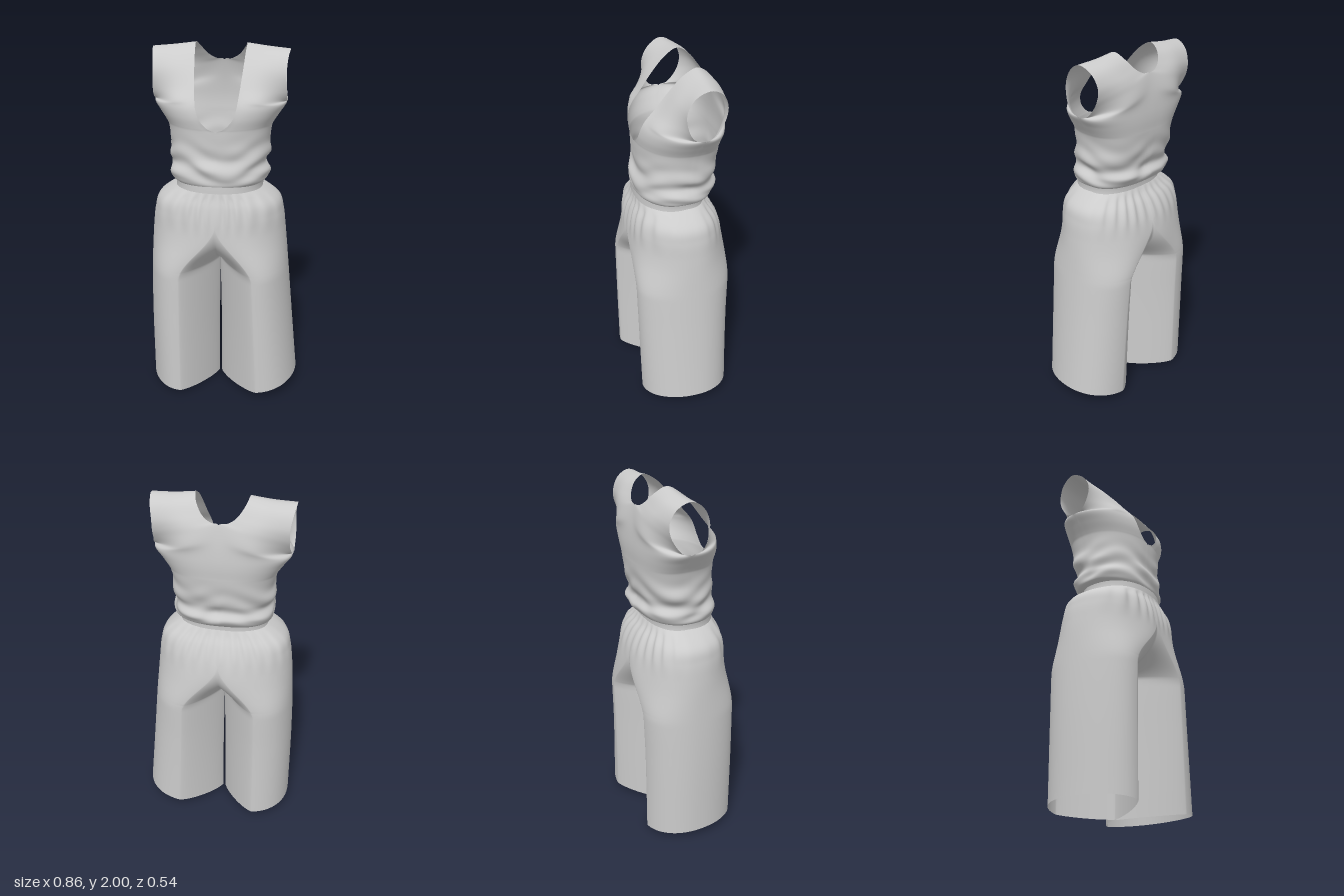
import * as THREE from 'three';
import { mergeGeometries, mergeVertices } from 'three/addons/utils/BufferGeometryUtils.js';

const MID = -0.03; // x of the garment's centre seam
const { smoothstep } = THREE.MathUtils;
const material = new THREE.MeshStandardMaterial({ color: 0xcccccc, side: THREE.DoubleSide });
const V = (x, y, z) => new THREE.Vector3(x, y, z);

// Smooth lookup in rows of [y, value, value, ...], sorted by y
function profile(rows) {
  const size = rows[0].length - 1;
  const spline = new THREE.CubicInterpolant(rows.map(r => r[0]), rows.flatMap(r => r.slice(1)), size, new Array(size));
  return y => [...spline.evaluate(y)];
}

// Oval section: t = 0 is the front, PI/2 the outer side, PI the back.
// p < 1 squares the oval, p = 1 is an ellipse, p = 2 a diamond.
function oval(t, cx, a, zf, zb, zc, p) {
  const power = v => Math.sign(v) * Math.abs(v) ** p;
  const c = power(Math.cos(t));
  return [cx + a * power(Math.sin(t)), zc + c * (c > 0 ? zf - zc : zc - zb)];
}

// Grid surface from f(u, v) -> Vector3
function grid(f, nu, nv, flip) {
  const pos = [], index = [];
  for (let j = 0; j <= nv; j++)
    for (let i = 0; i <= nu; i++) pos.push(...f(i / nu, j / nv).toArray());
  for (let j = 0; j < nv; j++)
    for (let i = 0; i < nu; i++) {
      const a = j * (nu + 1) + i, b = a + 1, c = a + nu + 1, d = c + 1;
      index.push(...(flip ? [a, c, b, b, c, d] : [a, b, c, b, d, c]));
    }
  const g = new THREE.BufferGeometry();
  g.setAttribute('position', new THREE.Float32BufferAttribute(pos, 3));
  g.setIndex(index);
  return g;
}

// Both halves of a part, welded along the seams; half(side) returns f(u, v)
function mirrored(name, half, nu, nv) {
  const g = mergeVertices(mergeGeometries([1, -1].map(s => grid(half(s), nu, nv, s < 0))), 1e-4);
  g.computeVertexNormals();
  const mesh = new THREE.Mesh(g, material);
  mesh.name = name;
  return mesh;
}

// Bodice: one strip per side, up the front, over the shoulder and down the back
const FRONT = 0.92, BACK = 0.78; // roundness of the chest and of the back
function bodice() {
  const rings = [ // y, half width, front z, back z, side z, neck opening
    [1.275, 0.242, 0.207, -0.157, 0.01, 0],
    [1.295, 0.268, 0.215, -0.195, 0.0, 0],
    [1.34, 0.272, 0.217, -0.22, 0, 0],
    [1.38, 0.258, 0.218, -0.2, -0.01, 0],
    [1.43, 0.278, 0.2, -0.212, -0.02, 0],
    [1.50, 0.272, 0.205, -0.224, -0.03, 0],
    [1.58, 0.285, 0.207, -0.232, -0.04, 0],
    [1.60, 0.295, 0.209, -0.233, -0.045, 0.042],
    [1.65, 0.328, 0.212, -0.236, -0.05, 0.088],
    [1.70, 0.36, 0.203, -0.235, -0.06, 0.106],
  ];
  const ringRow = ([y, w, zf, zb, zc, neck], back) => {
    const p = back ? BACK : FRONT;
    const t0 = back ? Math.PI : Math.asin((neck / w) ** (1 / p));
    return Array.from({ length: 10 }, (_, i) => {
      const [x, z] = oval(t0 + (Math.PI / 2 - t0) * i / 9, 0, w, zf, zb, zc, p);
      return V(x, y, z);
    });
  };
  // neck edge, middle, armhole edge
  const shoulder = [
    [V(0.112, 1.735, 0.178), V(0.235, 1.73, 0.142), V(0.36, 1.713, -0.01)],
    [V(0.12, 1.80, 0.125), V(0.235, 1.785, 0.105), V(0.36, 1.76, 0.025)],
    [V(0.13, 1.90, 0.045), V(0.235, 1.89, 0.048), V(0.355, 1.86, 0.04)],
    [V(0.135, 1.965, -0.02), V(0.24, 1.955, -0.018), V(0.36, 1.94, -0.002)],
    [V(0.138, 2.0, -0.09), V(0.25, 1.985, -0.085), V(0.37, 1.975, -0.075)],
    [V(0.122, 1.968, -0.148), V(0.24, 1.96, -0.15), V(0.36, 1.94, -0.145)],
    [V(0.085, 1.918, -0.185), V(0.215, 1.9, -0.195), V(0.348, 1.87, -0.177)],
    [V(0.042, 1.892, -0.2), V(0.2, 1.86, -0.212), V(0.348, 1.81, -0.17)],
    [V(0, 1.885, -0.206), V(0.19, 1.82, -0.22), V(0.35, 1.76, -0.145)],
    [V(0, 1.80, -0.224), V(0.19, 1.76, -0.228), V(0.358, 1.713, -0.105)],
  ];
  const rows = [
    ...rings.map(r => ringRow(r, false)), ...shoulder,
    ...[...rings].reverse().map(r => ringRow(r, true)),
  ].map(pts => new THREE.CatmullRomCurve3(pts));

  return mirrored('bodice', side => {
    const columns = new Map();
    return (u, v) => {
      if (!columns.has(u)) columns.set(u, new THREE.CatmullRomCurve3(rows.map(r => r.getPoint(u))));
      const p = columns.get(u).getPoint(v);
      p.x = side * Math.max(0, p.x);
      // slanting wrinkles where the cloth blouses over the waist
      const a = Math.atan2(p.x, p.z + 0.02);
      const fade = smoothstep(p.y, 1.28, 1.33) * (1 - smoothstep(p.y, 1.38, 1.6));
      const k = 1 + 0.022 * fade * (Math.sin(55 * p.y + 3 * Math.sin(3 * a + 1)) + 0.7 * Math.sin(38 * p.y + 5 * a));
      return V(MID + p.x * k, p.y, p.z * k);
    };
  }, 36, 174);
}

// Waistband: plain oval band
function waistband() {
  const size = profile([[1.2, 0.25, 0.213, -0.16], [1.25, 0.24, 0.212, -0.156], [1.3, 0.245, 0.209, -0.16]]);
  return mirrored('waistband', side => (u, v) => {
    const y = 1.2 + 0.1 * v, t = Math.PI * u, [w, zf, zb] = size(y);
    const [x, z] = oval(t, 0, w, zf, zb, 0.01, t < Math.PI / 2 ? FRONT : BACK);
    return V(MID + side * (Math.abs(x) < 1e-6 ? 0 : x), y, z);
  }, 40, 6);
}

// Trousers: each leg is an oval tube with a wedge-shaped inner wall,
// cut off at the centre plane above the crotch
function trousers() {
  const size = profile([ // y, left width, right width, front z, back z
    [0, 0.458, 0.40, 0.266, -0.25],
    [0.5, 0.415, 0.40, 0.27, -0.257],
    [0.85, 0.385, 0.39, 0.271, -0.266],
    [1.0, 0.37, 0.38, 0.265, -0.26],
    [1.1, 0.357, 0.366, 0.255, -0.238],
    [1.17, 0.335, 0.343, 0.238, -0.205],
    [1.215, 0.285, 0.29, 0.22, -0.172],
    [1.245, 0.24, 0.24, 0.212, -0.156],
  ]);
  const CROTCH = 0.8, TOP = 1.245, INNER = 1.6;
  return mirrored('trousers', side => (u, v) => {
    // rows gather closely around the crotch
    const y = v < 0.4 ? CROTCH * (1 - (1 - v / 0.4) ** 1.5)
      : CROTCH + (TOP - CROTCH) * ((v - 0.4) / 0.6) ** 1.6;
    const [wl, wr, zf, zb] = size(y), w = side > 0 ? wl : wr;
    const cx = w * 0.52 * (1 - smoothstep(y, CROTCH - 0.06, 1.08)), a = w - cx;
    const inner = Math.max(a, cx); // reach of the inner wall
    const t0 = -Math.asin((cx / inner) ** (1 / INNER));
    const t = t0 + (Math.PI - 2 * t0) * u;
    const outside = Math.sin(t) > 0;
    let [x, z] = oval(t, cx, outside ? a : inner, zf, zb, -0.02, outside ? 0.96 - 0.12 * smoothstep(y, 0.9, 1.2) : INNER);
    if (Math.abs(x) < 1e-5) x = 0;
    // gathers below the band and long soft folds
    const b = Math.atan2(x * side, z);
    const gather = smoothstep(y, 1.0, 1.17) * (1 - smoothstep(y, 1.205, TOP));
    const k = 1 + 0.028 * gather * Math.sin(26 * b + 2 * Math.sin(3 * b))
      + 0.01 * Math.sin(7 * b + 1 + 2 * y) * (1 - smoothstep(y, 1.1, TOP));
    const gap = 0.006 * (1 - smoothstep(y, 0.3, CROTCH)) * Math.max(0, 1 - x / 0.2);
    const hem = (side > 0 ? 0.15 : 0.1) * x * Math.max(0, 1 - y / 0.8);
    return V(MID + side * (x + gap), y + hem, z * k);
  }, 110, 90);
}

export function createModel() {
  const group = new THREE.Group();
  group.name = 'jumpsuit';
  group.add(bodice(), waistband(), trousers());
  return group;
}
